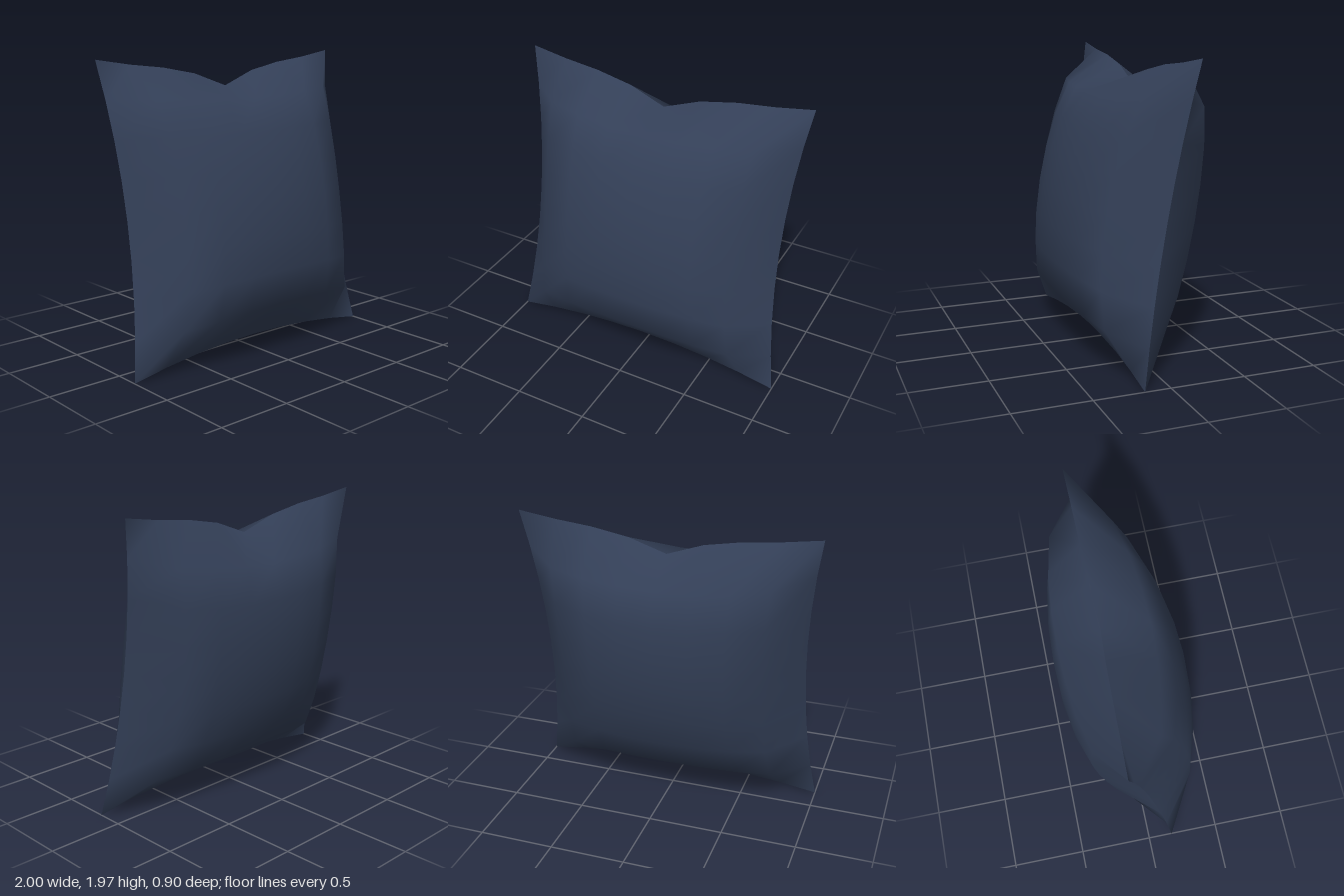
import * as THREE from 'three';

const SEGMENTS = 8;
const PINCH = 0.09;      // how far the middle of each seam draws inward
const PUFF = 0.427;      // half thickness at the centre
const LEAN = 0.171;      // backward tilt in radians

// One puffed panel: side = 1 for the front, -1 for the back
function panel(side) {
  const geometry = new THREE.PlaneGeometry(2, 2, SEGMENTS, SEGMENTS);
  if (side < 0) geometry.rotateY(Math.PI);
  const pos = geometry.attributes.position;
  for (let i = 0; i < pos.count; i++) {
    const u = pos.getX(i), v = pos.getY(i);
    const fu = Math.max(0, 1 - u * u), fv = Math.max(0, 1 - v * v);
    // the chopped notch pushes down only the middle of the top seam
    const notch = v > 0.99 ? 0.117 * Math.max(0, 1 - Math.abs(u) / 0.34) : 0;
    const bulge = fu * fv < 1e-5 ? 0 : PUFF * Math.pow(fu * fv, 0.44);
    pos.setXYZ(i, u * (1 - PINCH * fv), v * (1 - PINCH * fu) - notch, side * bulge);
  }
  geometry.computeVertexNormals();
  return geometry;
}

export function createModel() {
  const fabric = new THREE.MeshStandardMaterial({ color: 0x333f57 });
  const cushion = new THREE.Group();
  cushion.name = 'cushion';

  // Two panels meeting at a sharp seam
  for (const [name, side] of [['frontPanel', 1], ['backPanel', -1]]) {
    const mesh = new THREE.Mesh(panel(side), fabric);
    mesh.name = name;
    cushion.add(mesh);
  }

  // Lean back, standing on the bottom corners
  cushion.rotation.x = -LEAN;
  cushion.position.y = Math.cos(LEAN);

  const model = new THREE.Group();
  model.name = 'throwPillow';
  model.add(cushion);
  return model;
}
